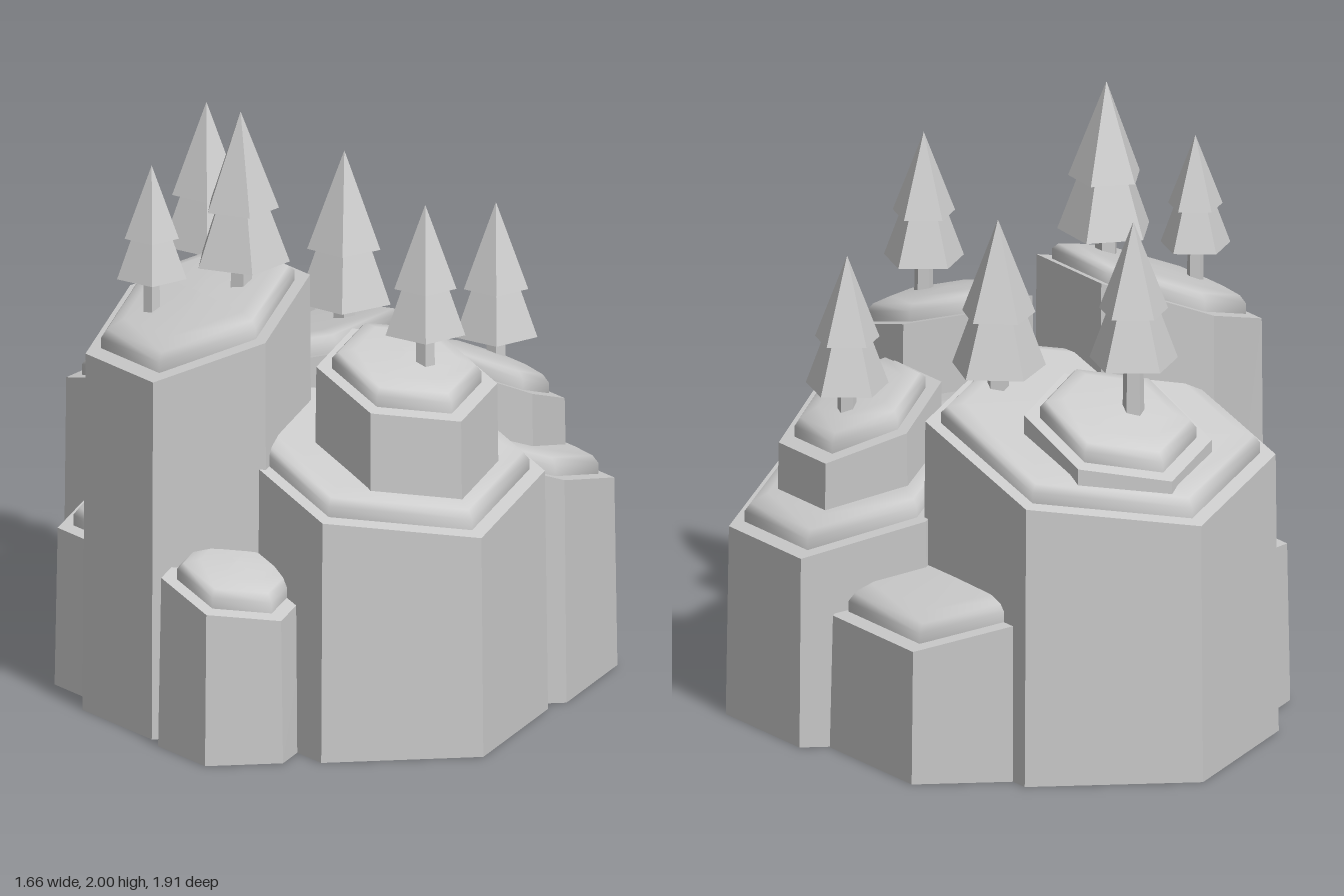
import * as THREE from 'three';

const flat = new THREE.MeshStandardMaterial({ color: 0xcccccc, flatShading: true });
const smooth = new THREE.MeshStandardMaterial({ color: 0xcccccc });

function add(parent, name, geometry, material, x, y, z) {
  const mesh = new THREE.Mesh(geometry, material);
  mesh.name = name;
  mesh.position.set(x, y, z);
  parent.add(mesh);
  return mesh;
}

// Six-sided rock column with a slanted top and a soft bevelled cap.
// h is the top height at the axis, sx and sz the slopes of the top, base the foot height.
function column(parent, name, { x, z, r, h, sx = 0, sz = 0, base = 0 }) {
  const group = new THREE.Group();
  group.name = name;
  parent.add(group);

  const rock = new THREE.CylinderGeometry(r - 0.01, r, h - base, 6);
  rock.translate(0, (h + base) / 2, 0);
  const p = rock.attributes.position;
  const middle = (h + base) / 2;
  for (let i = 0; i < p.count; i++) {
    if (p.getY(i) > middle) p.setY(i, p.getY(i) + sx * p.getX(i) + sz * p.getZ(i));
  }
  rock.computeVertexNormals();
  add(group, 'rock', rock, flat, x, 0, z);

  const c = r - 0.06;
  const profile = [[c, -0.01], [c, 0.035], [c - 0.02, 0.057], [c - 0.075, 0.073], [0, 0.078]]
    .map(([a, b]) => new THREE.Vector2(a, b));
  const cap = new THREE.LatheGeometry(profile, 6);
  cap.applyMatrix4(new THREE.Matrix4().set(1, 0, 0, 0, sx, 1, sz, 0, 0, 0, 1, 0, 0, 0, 0, 1));
  add(group, 'grassCap', cap, smooth, x, h, z);
}

// Five-sided tree: trunk, wide lower skirt and pointed upper cone.
function tree(parent, name, { x, z, foot, top, turn = 0 }) {
  const group = new THREE.Group();
  group.name = name;
  group.position.set(x, foot, z);
  group.rotation.y = Math.PI + turn;
  parent.add(group);
  const H = top - foot, R = 0.315 * H, step = 0.36 * H;
  add(group, 'trunk', new THREE.CylinderGeometry(0.07 * H, 0.08 * H, 0.24, 5), flat, 0, -0.1, 0);
  add(group, 'lowerFoliage', new THREE.CylinderGeometry(R * 0.58, R, step, 5), flat, 0, step / 2, 0);
  add(group, 'upperFoliage', new THREE.ConeGeometry(R * 0.78, H - step, 5), flat, 0, (H + step) / 2, 0);
}

export function createModel() {
  const model = new THREE.Group();
  model.name = 'rockIsland';

  // Main columns
  column(model, 'backColumn', { x: -0.025, z: -0.39, r: 0.57, h: 1.0, sz: 0.255 });
  column(model, 'frontColumn', { x: -0.06, z: 0.43, r: 0.52, h: 0.87, sz: -0.27 });
  column(model, 'rightColumn', { x: -0.483, z: -0.005, r: 0.37, h: 1.315, sx: 0.38 });
  column(model, 'leftColumn', { x: 0.475, z: 0.265, r: 0.41, h: 0.745, sx: -0.33 });

  // Upper steps
  column(model, 'backStep', { x: 0.015, z: -0.545, r: 0.31, h: 1.085, sz: 0.33, base: 0.4 });
  column(model, 'frontStep', { x: -0.055, z: 0.535, r: 0.3, h: 1.17, sz: -0.27, base: 0.4 });
  column(model, 'leftStep', { x: 0.455, z: 0.26, r: 0.27, h: 1.0, sx: -0.42, base: 0.4 });

  // Low side columns
  column(model, 'lowLeftColumn', { x: 0.355, z: -0.22, r: 0.455, h: 0.55, sx: -0.28 });
  column(model, 'lowBackRightColumn', { x: -0.49, z: -0.31, r: 0.27, h: 0.56, sx: 0.15 });
  column(model, 'lowFrontRightColumn', { x: -0.61, z: 0.37, r: 0.25, h: 0.535, sz: -0.25 });

  // Trees
  tree(model, 'backTree', { x: -0.02, z: -0.58, foot: 1.31, top: 1.78 });
  tree(model, 'middleTree', { x: 0.185, z: -0.12, foot: 1.2, top: 1.7, turn: -0.06 });
  tree(model, 'tallTree', { x: -0.38, z: 0.085, foot: 1.5, top: 2.0, turn: 0.23 });
  tree(model, 'smallTree', { x: -0.61, z: -0.08, foot: 1.45, top: 1.82 });
  tree(model, 'leftTree', { x: 0.53, z: 0.225, foot: 1.11, top: 1.55 });
  tree(model, 'frontTree', { x: -0.03, z: 0.6, foot: 1.33, top: 1.755 });

  return model;
}
